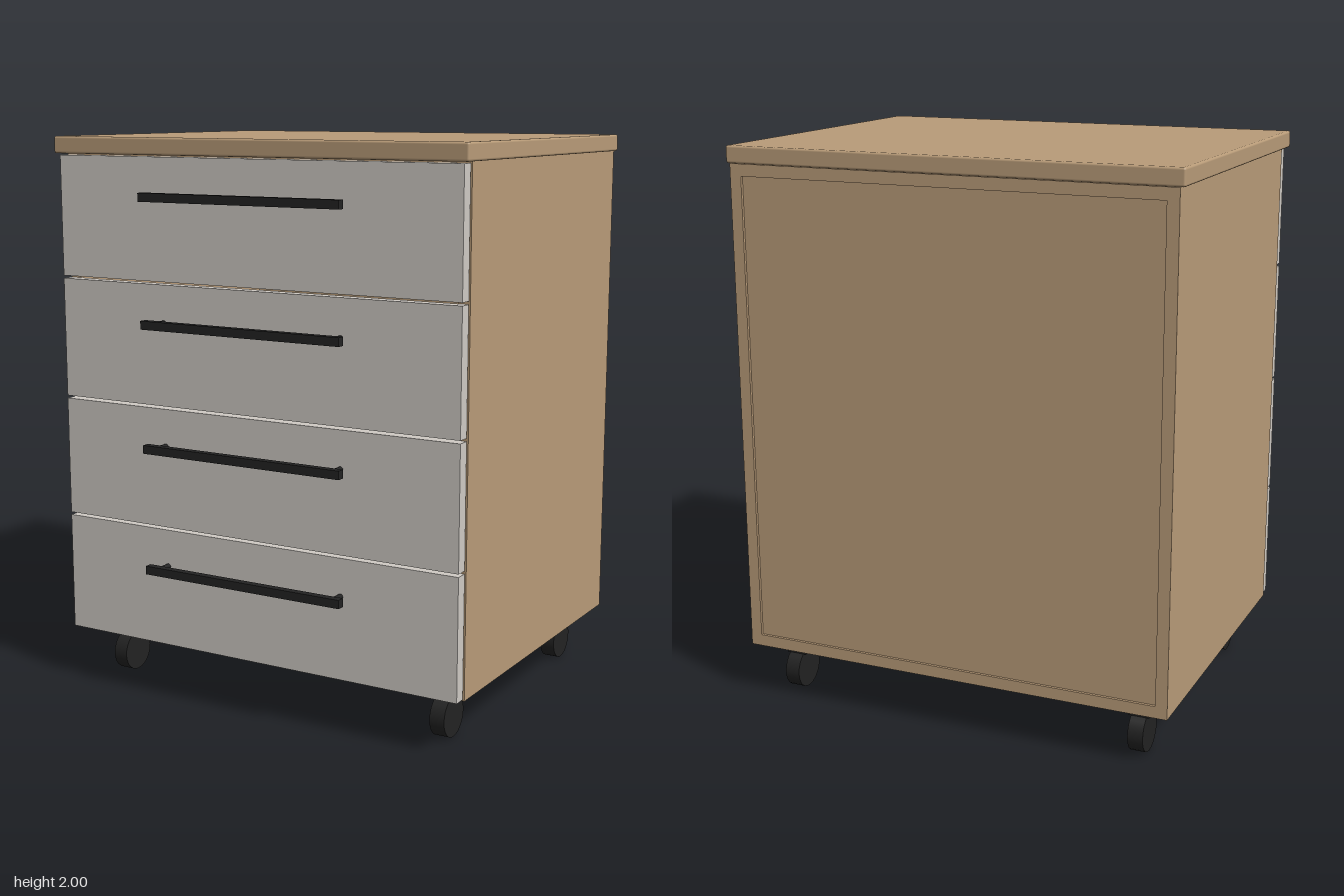
import * as THREE from 'three';
import { RoundedBoxGeometry } from 'three/addons/geometries/RoundedBoxGeometry.js';

const wood = new THREE.MeshStandardMaterial({ color: 0xb89b78 });
const paint = new THREE.MeshStandardMaterial({ color: 0xcfcac4 });
const black = new THREE.MeshStandardMaterial({ color: 0x222222 });

function add(parent, name, geometry, material, x, y, z) {
  const mesh = new THREE.Mesh(geometry, material);
  mesh.name = name;
  mesh.position.set(x, y, z);
  parent.add(mesh);
  return mesh;
}

// Box given by its lower and upper corners
function addBox(parent, name, material, [x0, y0, z0], [x1, y1, z1]) {
  return add(parent, name, new THREE.BoxGeometry(x1 - x0, y1 - y0, z1 - z0), material,
    (x0 + x1) / 2, (y0 + y1) / 2, (z0 + z1) / 2);
}

function createHandle() {
  const handle = new THREE.Group();
  handle.name = 'handle';
  addBox(handle, 'handleBar', black, [-0.395, -0.015, 0.052], [0.395, 0.015, 0.08]);
  for (const x of [-0.355, 0.355]) {
    const post = add(handle, 'handlePost', new THREE.CylinderGeometry(0.01, 0.01, 0.06, 16), black, x, 0, 0.028);
    post.rotation.x = Math.PI / 2;
  }
  return handle;
}

function createCaster() {
  const caster = new THREE.Group();
  caster.name = 'caster';
  addBox(caster, 'casterMount', black, [-0.038, 0.137, -0.038], [0.038, 0.192, 0.038]);
  const wheel = add(caster, 'casterWheel', new THREE.CylinderGeometry(0.074, 0.074, 0.055, 24), black, 0, 0.074, 0);
  wheel.rotation.z = Math.PI / 2;
  return caster;
}

export function createModel() {
  const model = new THREE.Group();
  model.name = 'drawerCabinet';
  const bottom = 0.19, top = 1.94, back = -0.665, front = 0.537, side = 0.797, t = 0.042;

  // Carcass of panels, with the back panel slightly recessed
  const carcass = new THREE.Group();
  carcass.name = 'carcass';
  model.add(carcass);
  for (const s of [-1, 1]) {
    const panel = addBox(carcass, 'sidePanel', wood, [side - t, bottom, back], [side, top, front]);
    panel.position.x *= s;
  }
  addBox(carcass, 'bottomPanel', wood, [t - side, bottom, back], [side - t, bottom + t, front]);
  addBox(carcass, 'topPanel', wood, [t - side, top - t, back], [side - t, top, front]);
  addBox(carcass, 'backPanel', wood, [t - side, bottom + t, back + 0.01], [side - t, top - t, back + 0.03]);

  // Worktop with softened edges
  add(model, 'worktop', new RoundedBoxGeometry(1.626, 0.06, 1.26, 2, 0.008), wood, 0, 1.97, -0.035);

  // Four equal drawers
  for (let i = 0; i < 4; i++) {
    const drawer = new THREE.Group();
    drawer.name = 'drawer';
    drawer.position.y = 0.41 + i * 0.437;
    addBox(drawer, 'drawerFront', paint, [-0.793, -0.2135, 0.541], [0.793, 0.2135, 0.585]);
    const handle = createHandle();
    handle.position.set(0, 0.08, 0.585);
    drawer.add(handle);
    model.add(drawer);
  }

  // Casters at the four corners
  for (const x of [-0.667, 0.667]) {
    for (const z of [-0.533, 0.403]) {
      const caster = createCaster();
      caster.position.set(x, 0, z);
      model.add(caster);
    }
  }
  return model;
}
